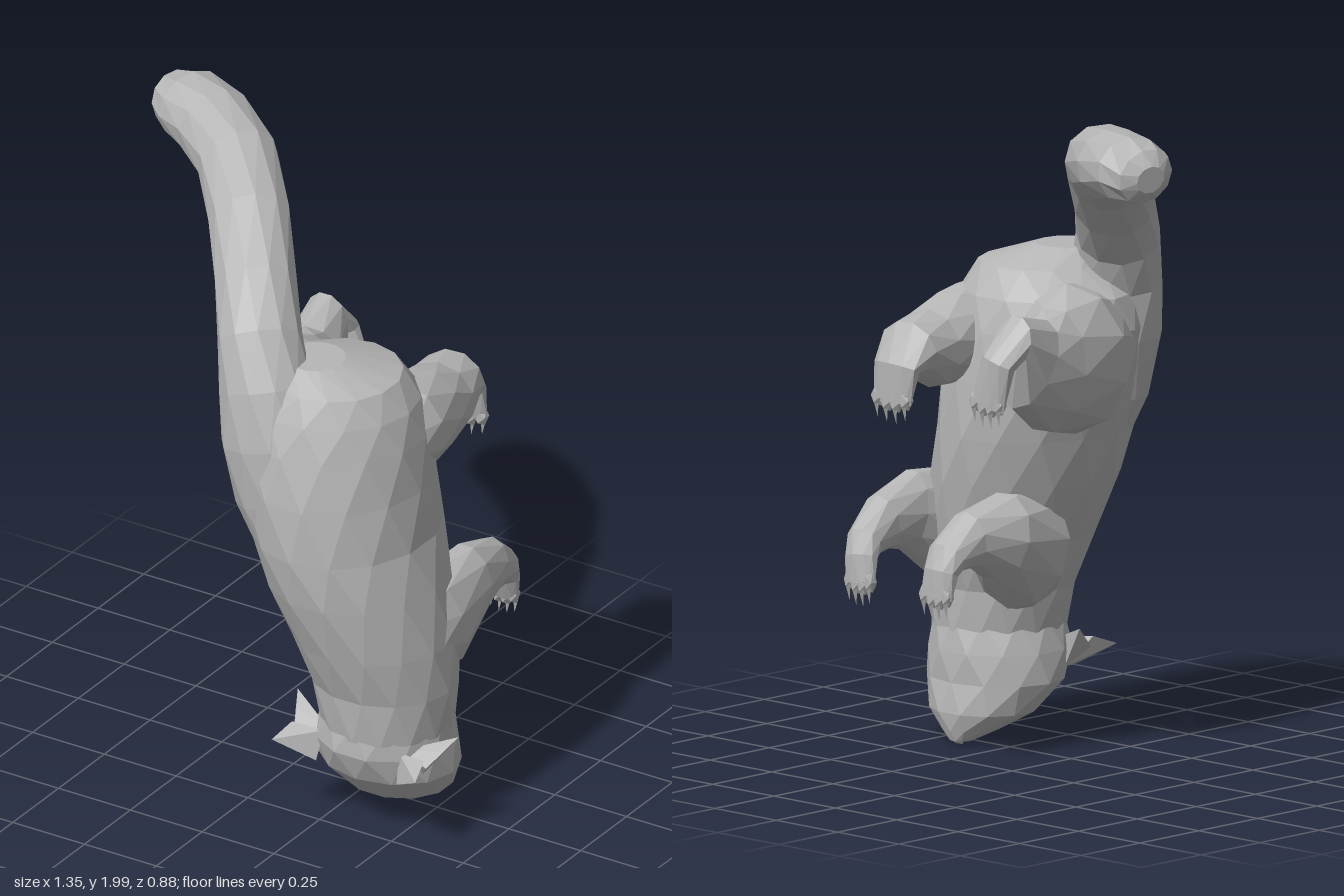
import * as THREE from 'three';
import { ConvexGeometry } from 'three/addons/geometries/ConvexGeometry.js';

const fur = new THREE.MeshStandardMaterial({ color: 0xb6b6b6 });
fur.name = 'grey fur';

function addMesh(parent, geometry, name) {
  const flat = geometry.index ? geometry.toNonIndexed() : geometry;
  flat.computeVertexNormals();
  const mesh = new THREE.Mesh(flat, fur);
  mesh.name = name;
  parent.add(mesh);
  return mesh;
}

// Skin over elliptical rings [x, y, z, radius across x, other radius]
function loft(rings, sides, fixedTangent) {
  const pos = [], idx = [], n = rings.length;
  const centres = rings.map(r => new THREE.Vector3(r[0], r[1], r[2]));
  const grow = 1.02;
  rings.forEach((r, i) => {
    const t = fixedTangent ? fixedTangent.clone()
      : centres[Math.min(i + 1, n - 1)].clone().sub(centres[Math.max(i - 1, 0)]).normalize();
    const u = new THREE.Vector3(1, 0, 0).addScaledVector(t, -t.x).normalize();
    const v = t.clone().cross(u);
    for (let j = 0; j < sides; j++) {
      const a = (j + 0.5 * (i % 2)) / sides * Math.PI * 2;
      const p = centres[i].clone()
        .addScaledVector(u, Math.cos(a) * r[3] * grow)
        .addScaledVector(v, Math.sin(a) * r[4] * grow);
      pos.push(p.x, p.y, p.z);
    }
  });
  for (let i = 0; i < n - 1; i++) {
    for (let j = 0; j < sides; j++) {
      const k = (j + 1) % sides;
      const a = i * sides + j, b = i * sides + k, d = a + sides, c = b + sides;
      // split each quad along the shorter diagonal of the staggered rings
      if (i % 2) idx.push(a, b, c, a, c, d);
      else idx.push(a, b, d, b, c, d);
    }
  }
  // End caps
  const first = pos.length / 3;
  pos.push(...centres[0].toArray(), ...centres[n - 1].toArray());
  for (let j = 0; j < sides; j++) {
    const k = (j + 1) % sides, e = (n - 1) * sides;
    idx.push(first, k, j, first + 1, e + j, e + k);
  }
  const g = new THREE.BufferGeometry();
  g.setAttribute('position', new THREE.Float32BufferAttribute(pos, 3));
  g.setIndex(idx);
  return g;
}

// Leg with four clawed toes hanging from the end of the paw
function addLeg(parent, name, rings) {
  const leg = new THREE.Group();
  leg.name = name;
  addMesh(leg, loft(rings, 10), name + 'Limb');
  const [x, y, z, w] = rings[rings.length - 1];
  for (let i = 0; i < 4; i++) {
    const s = (i - 1.5) / 1.5;
    const tx = x + s * w * 0.75, ty = y - 0.005 + 0.012 * s * s;
    const toe = addMesh(leg, new THREE.IcosahedronGeometry(1, 0), 'toe');
    toe.scale.set(w * 0.3, 0.035, 0.024);
    toe.position.set(tx, ty, z);
    const claw = addMesh(leg, new THREE.ConeGeometry(0.01, 0.05, 4), 'claw');
    claw.rotation.x = Math.PI - 0.15;
    claw.position.set(tx, ty - 0.04, z - 0.006);
  }
  parent.add(leg);
}

export function createModel() {
  const model = new THREE.Group();
  model.name = 'climbingAnimal';

  // Trunk, running head-down
  const down = new THREE.Vector3(0, -1, 0);
  addMesh(model, loft([
    [0.19, 1.5, 0.18, 0.09, 0.09],
    [0.24, 1.45, 0.14, 0.19, 0.2],
    [0.215, 1.37, 0.13, 0.265, 0.25],
    [0.215, 1.27, 0.13, 0.29, 0.28],
    [0.24, 1.12, 0.13, 0.28, 0.305],
    [0.27, 0.95, 0.13, 0.265, 0.31],
    [0.31, 0.8, 0.128, 0.26, 0.292],
    [0.362, 0.62, 0.12, 0.24, 0.25],
    [0.39, 0.47, 0.115, 0.22, 0.205],
    [0.4, 0.33, 0.11, 0.195, 0.195],
  ], 14, down), 'trunk');

  // Head tapering to the snout
  addMesh(model, loft([
    [0.4, 0.38, 0.11, 0.19, 0.19],
    [0.39, 0.28, 0.105, 0.21, 0.205],
    [0.39, 0.19, 0.085, 0.215, 0.185],
    [0.39, 0.1, 0.035, 0.165, 0.15],
    [0.39, 0.045, -0.02, 0.085, 0.085],
    [0.39, 0.015, -0.06, 0.035, 0.035],
  ], 12, down), 'head');
  const nose = addMesh(model, new THREE.IcosahedronGeometry(0.024, 0), 'nose');
  nose.position.set(0.39, 0.024, -0.07);

  // Ears, mirrored across the head
  for (const s of [1, -1]) {
    const at = (x, y, z) => new THREE.Vector3(0.39 + s * x, y, z);
    addMesh(model, new ConvexGeometry([
      at(0.13, 0.3, 0.24), at(0.17, 0.22, 0.2), at(0.14, 0.21, 0.27),
      at(0.25, 0.28, 0.34), at(0.23, 0.31, 0.26),
    ]), 'earFlap');
    addMesh(model, new ConvexGeometry([
      at(0.13, 0.3, 0.22), at(0.18, 0.22, 0.19), at(0.23, 0.28, 0.25),
      at(0.28, 0.355, 0.15), at(0.25, 0.32, 0.2),
    ]), 'earTip');
  }

  // Tail flowing out of the back, then sweeping up, sideways and back
  addMesh(model, loft([
    [0.22, 0.92, 0.26, 0.15, 0.13],
    [0.15, 1.09, 0.27, 0.16, 0.145],
    [0.11, 1.26, 0.28, 0.165, 0.14],
    [0.075, 1.41, 0.27, 0.14, 0.125],
    [0.025, 1.54, 0.225, 0.125, 0.12],
    [-0.05, 1.66, 0.13, 0.12, 0.115],
    [-0.16, 1.78, -0.01, 0.12, 0.11],
    [-0.3, 1.86, -0.165, 0.12, 0.11],
    [-0.45, 1.885, -0.275, 0.12, 0.11],
    [-0.57, 1.895, -0.33, 0.115, 0.1],
    [-0.635, 1.89, -0.345, 0.09, 0.08],
    [-0.665, 1.885, -0.355, 0.045, 0.04],
  ], 11), 'tail');

  // Legs: thigh or shoulder first, paw last
  addLeg(model, 'rightHindLeg', [
    [0.11, 1.22, 0.14, 0.18, 0.18],
    [0.01, 1.2, 0.01, 0.17, 0.225],
    [-0.045, 1.195, -0.14, 0.12, 0.185],
    [-0.08, 1.235, -0.26, 0.085, 0.14],
    [-0.1, 1.32, -0.345, 0.065, 0.075],
    [-0.085, 1.26, -0.395, 0.06, 0.04],
    [-0.05, 1.13, -0.405, 0.065, 0.025],
  ]);
  addLeg(model, 'leftHindLeg', [
    [0.4, 1.22, 0.11, 0.1, 0.11],
    [0.39, 1.24, 0.0, 0.125, 0.15],
    [0.37, 1.235, -0.12, 0.125, 0.135],
    [0.35, 1.22, -0.24, 0.115, 0.115],
    [0.335, 1.235, -0.34, 0.1, 0.085],
    [0.33, 1.19, -0.395, 0.085, 0.04],
    [0.34, 1.09, -0.405, 0.075, 0.025],
  ]);
  addLeg(model, 'rightFrontLeg', [
    [0.28, 0.58, 0.1, 0.13, 0.18],
    [0.19, 0.61, -0.01, 0.14, 0.18],
    [0.15, 0.67, -0.15, 0.11, 0.13],
    [0.15, 0.68, -0.28, 0.075, 0.085],
    [0.15, 0.64, -0.37, 0.065, 0.055],
    [0.15, 0.6, -0.395, 0.06, 0.04],
    [0.155, 0.525, -0.41, 0.06, 0.025],
  ]);
  addLeg(model, 'leftFrontLeg', [
    [0.48, 0.62, 0.1, 0.12, 0.14],
    [0.505, 0.64, 0.0, 0.105, 0.17],
    [0.51, 0.7, -0.16, 0.08, 0.12],
    [0.5, 0.685, -0.28, 0.065, 0.085],
    [0.485, 0.64, -0.37, 0.055, 0.055],
    [0.475, 0.6, -0.395, 0.055, 0.04],
    [0.465, 0.525, -0.41, 0.055, 0.025],
  ]);
  return model;
}
